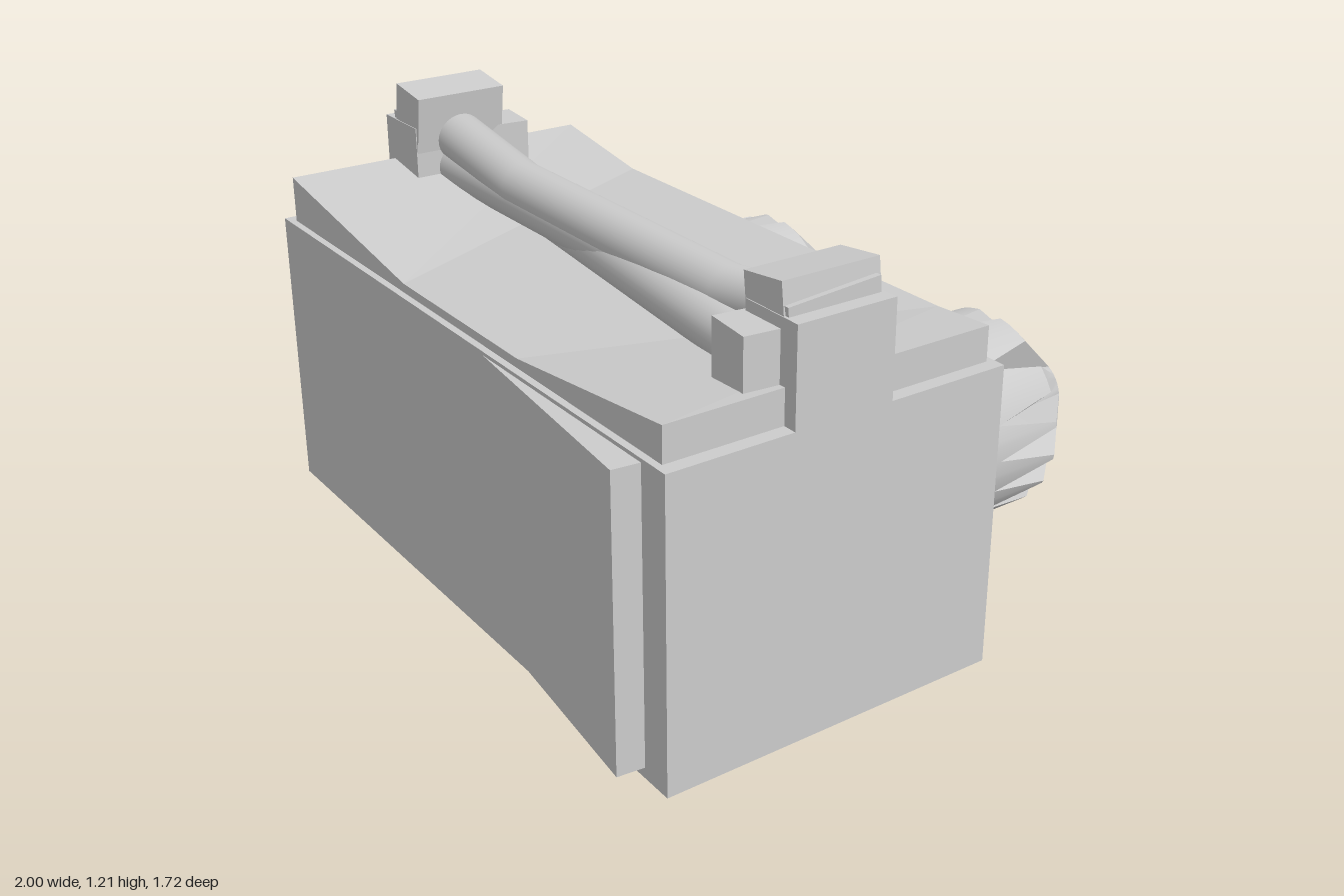
import * as THREE from 'three';
import { toCreasedNormals } from 'three/addons/utils/BufferGeometryUtils.js';

const MID_Z = 0.29; // centre line of the body
const ROD_Z = 0.292; // centre line of the rods and posts
const SKEW = -0.106; // twist of the inner shell and lower rod

const mat = new THREE.MeshStandardMaterial({ color: 0xcccccc, side: THREE.DoubleSide });

function add(parent, name, geometry, x = 0, y = 0, z = 0) {
  const mesh = new THREE.Mesh(geometry, mat);
  mesh.name = name;
  mesh.position.set(x, y, z);
  parent.add(mesh);
  return mesh;
}

function rectangle(PathType, w, d) {
  return new PathType([[-1, -1], [1, -1], [1, 1], [-1, 1]]
    .map(([x, y]) => new THREE.Vector2(x * w / 2, y * d / 2)));
}

// Thick-walled box that is open underneath
function addHollowBox(parent, name, w, h, d, wall, bottom) {
  const box = new THREE.Group();
  box.name = name;
  box.position.set(0, bottom, MID_Z);
  parent.add(box);
  const outline = rectangle(THREE.Shape, w, d);
  outline.holes.push(rectangle(THREE.Path, w - 2 * wall, d - 2 * wall));
  const walls = new THREE.ExtrudeGeometry(outline, { depth: h, bevelEnabled: false });
  add(box, 'walls', walls.rotateX(-Math.PI / 2));
  add(box, 'roof', new THREE.BoxGeometry(w - wall, wall, d - wall), 0, h - wall / 2, 0);
  return box;
}

// Lid whose sagging top is shallower and wider along the back edge
function lidGeometry() {
  const outline = new THREE.Shape([
    [-0.96, 0.83], [0.96, 0.83], [0.96, 0.935], [0.34, 0.865], [-0.26, 0.865], [-0.96, 0.973],
  ].map(([x, y]) => new THREE.Vector2(x, y)));
  const g = new THREE.ExtrudeGeometry(outline, { depth: 0.95, bevelEnabled: false });
  const p = g.attributes.position;
  for (let i = 0; i < p.count; i++) {
    const x = p.getX(i);
    if (p.getZ(i) > 0.01 || Math.abs(x) > 0.9) continue;
    p.setXY(i, x > 0 ? 0.78 : -0.6, x > 0 ? 0.925 : 0.92);
  }
  g.computeVertexNormals();
  return g;
}

// Rod along x, bent through stations of [x, y]
function rodGeometry(stations, radius) {
  const n = stations.length - 1;
  const g = new THREE.CylinderGeometry(radius, radius, n, 28, n).rotateZ(Math.PI / 2);
  const p = g.attributes.position;
  for (let i = 0; i < p.count; i++) {
    const [x, y] = stations[Math.round(p.getX(i) + n / 2)];
    p.setX(i, x);
    p.setY(i, p.getY(i) + y);
  }
  return g;
}

// Barrel along -z whose conical nose is cut by pointed V grooves at the given angles
function barrelGeometry(notches) {
  const half = 8.5;
  const columns = [];
  notches.forEach((a, i) => {
    const next = i + 1 < notches.length ? notches[i + 1] : notches[0] + 360;
    columns.push([a - half, 0], [a, 1], [a + half, 0]);
    const gap = next - a - 2 * half;
    const steps = Math.ceil(gap / 10);
    for (let s = 1; s < steps; s++) columns.push([a + half + gap * s / steps, 0]);
  });
  // z, ridge radius, groove radius
  const rings = [[-0.2, 0.287, 0.287], [-0.45, 0.287, 0.287], [-0.66, 0.285, 0.19], [-0.86, 0.1, 0.1]];
  const n = columns.length;
  const pos = [];
  const index = [];
  rings.forEach(([z, ridge, groove]) => {
    for (const [deg, cut] of columns) {
      const t = THREE.MathUtils.degToRad(deg);
      const r = cut ? groove : ridge;
      pos.push(r * Math.cos(t), r * Math.sin(t), z);
    }
  });
  for (let i = 0; i < rings.length - 1; i++) {
    for (let j = 0; j < n; j++) {
      const k = (j + 1) % n;
      const a = i * n + j, b = i * n + k, c = a + n, d = b + n;
      if (columns[k][1]) index.push(a, c, b, b, c, d);
      else index.push(a, c, d, a, d, b);
    }
  }
  const g = new THREE.BufferGeometry();
  g.setAttribute('position', new THREE.Float32BufferAttribute(pos, 3));
  g.setIndex(index);
  return toCreasedNormals(g, 0.4);
}

export function createModel() {
  const model = new THREE.Group();

  // Hollow body and the slightly twisted shell inside it
  addHollowBox(model, 'body', 2, 0.84, 0.99, 0.04, 0);
  addHollowBox(model, 'innerShell', 1.91, 0.8, 0.942, 0.03, 0.03).rotation.y = SKEW;

  add(model, 'lid', lidGeometry(), 0, 0, -0.185);

  // End posts, tilted upper clamps and their shims
  for (const s of [-1, 1]) {
    const post = new THREE.Group();
    post.name = s > 0 ? 'leftPost' : 'rightPost';
    model.add(post);
    add(post, 'column', new THREE.BoxGeometry(0.19, 0.265, 0.285), s * 0.905, 0.9675, ROD_Z);
    add(post, 'shim', new THREE.BoxGeometry(0.13, 0.12, 0.265), s * 0.893, 1.073, ROD_Z).rotation.x = 0.07;
    const clamp = add(post, 'upperClamp', new THREE.BoxGeometry(0.14, 0.17, 0.28),
      s > 0 ? 0.878 : -0.865, s > 0 ? 1.088 : 1.118, ROD_Z);
    clamp.rotation.z = s > 0 ? 0.12 : -0.14;
  }

  // Upper bent rod over a straight middle rod
  add(model, 'upperRod',
    rodGeometry([[-0.87, 1.065], [-0.43, 0.998], [0.56, 0.998], [0.87, 1.045]], 0.073), 0, 0, ROD_Z);
  add(model, 'middleRod', rodGeometry([[-0.87, 0.965], [0.87, 0.965]], 0.071), 0, 0, ROD_Z);

  // Lower straight rod with its clamps, twisted as one
  const lower = new THREE.Group();
  lower.name = 'lowerRodAssembly';
  lower.position.z = ROD_Z;
  lower.rotation.y = SKEW;
  model.add(lower);
  add(lower, 'lowerRod', rodGeometry([[-0.87, 0.94], [0.87, 0.94]], 0.07));
  for (const s of [-1, 1]) {
    add(lower, 'lowerClamp', new THREE.BoxGeometry(0.14, 0.21, 0.275), s * 0.88, 0.965, 0);
  }

  // Grooved barrels on the back, each with an open bore
  const grooves = {
    left: [0, 20, 52, 90, 121, 157, 185, 215, 245, 280, 321, 340],
    right: [90, 110, 127, 160, 190, 220, 250, 280, 310, 340],
  };
  const bore = new THREE.CylinderGeometry(0.098, 0.098, 0.6, 32, 1, true).rotateX(Math.PI / 2);
  for (const side of ['left', 'right']) {
    const group = new THREE.Group();
    group.name = side + 'Barrel';
    group.position.set(side === 'left' ? 0.49 : -0.49, 0.412, 0);
    model.add(group);
    add(group, 'barrelShell', barrelGeometry(grooves[side]));
    add(group, 'bore', bore, 0, 0, -0.56);
    add(group, 'boreEnd', new THREE.CircleGeometry(0.098, 32).rotateY(Math.PI), 0, 0, -0.3);
  }

  return model;
}
